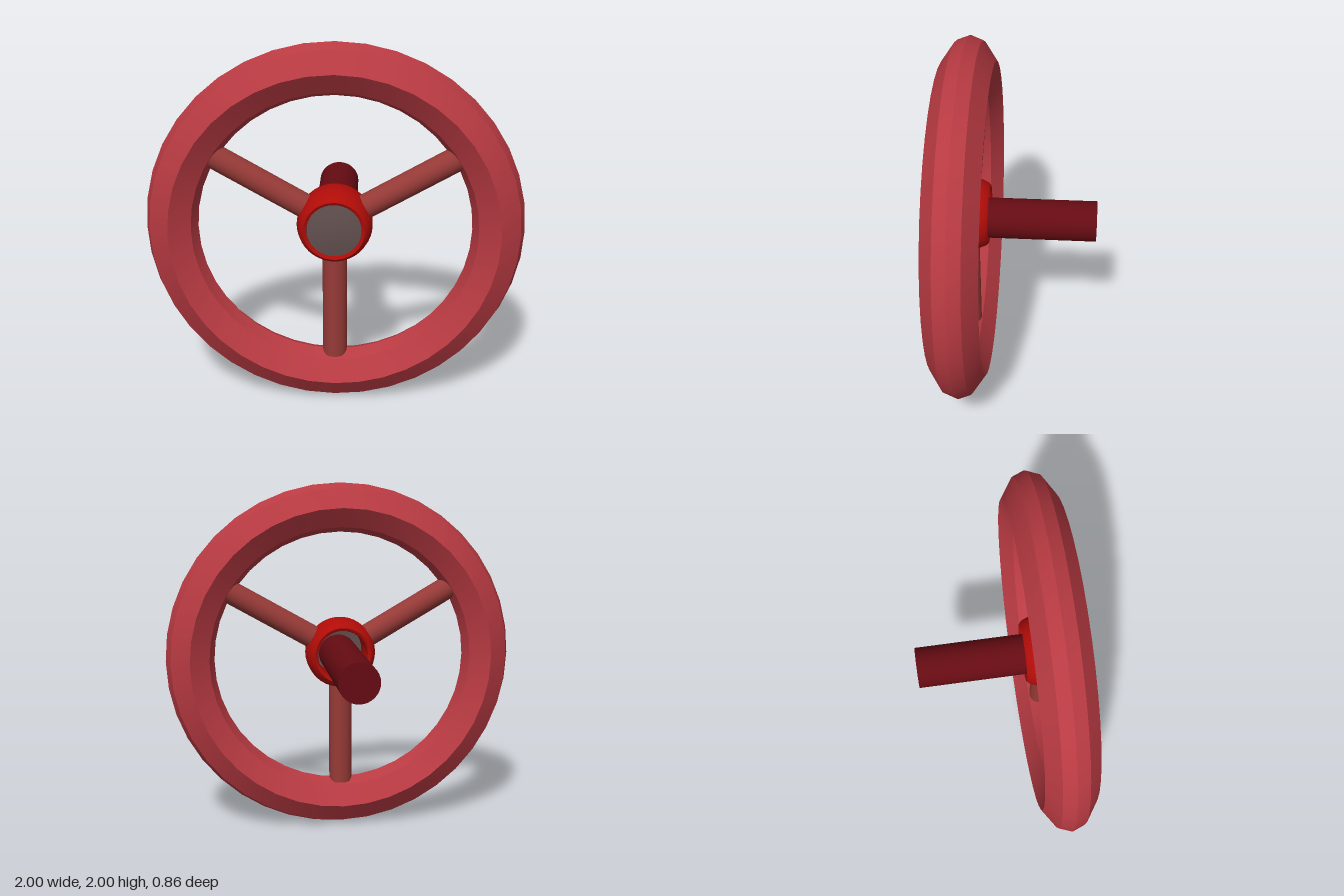
import * as THREE from 'three';
import { toCreasedNormals } from 'three/addons/utils/BufferGeometryUtils.js';

const RIM_Y = 1, HUB_Y = 1.03, WHEEL_Z = 0.288;

function part(name, geometry, color, x, y, z) {
  const material = new THREE.MeshStandardMaterial({ color, side: THREE.DoubleSide });
  const mesh = new THREE.Mesh(geometry, material);
  mesh.name = name;
  mesh.position.set(x, y, z);
  return mesh;
}

// Revolves [radius, depth] pairs about the z axis
function turned(profile, segments, crease) {
  const points = profile.map(([r, d]) => new THREE.Vector2(r, d));
  const geometry = new THREE.LatheGeometry(points, segments).rotateX(Math.PI / 2);
  return toCreasedNormals(geometry, crease);
}

export function createModel() {
  const wheel = new THREE.Group();
  wheel.name = 'handwheel';

  // Rim: faceted ring with crests on the front and back
  const rim = turned([
    [1, 0], [0.973, 0.07], [0.865, 0.143], [0.755, 0.07],
    [0.725, 0], [0.755, -0.07], [0.865, -0.143], [0.973, -0.07], [1, 0],
  ], 40, 0.5);
  wheel.add(part('rim', rim, 0xb83a42, 0, RIM_Y, WHEEL_Z));

  // Hub: rounded open collar
  const hub = turned([
    [0.145, -0.12], [0.16, -0.128], [0.175, -0.115], [0.19, -0.08], [0.2, -0.035],
    [0.2, 0.035], [0.19, 0.08], [0.175, 0.115], [0.16, 0.128], [0.145, 0.12],
    [0.14, 0.1], [0.14, -0.1], [0.145, -0.12],
  ], 40, 0.6);
  wheel.add(part('hub', hub, 0xb00c08, 0, HUB_Y, WHEEL_Z));

  // Shallow domed cap closing the front of the hub
  const cap = turned([[0.145, 0.1], [0.145, 0.115], [0.08, 0.125], [0, 0.13]], 40, 0.5);
  wheel.add(part('hubCap', cap, 0x635050, 0, HUB_Y, WHEEL_Z));

  // Three spokes running from the hub into the rim
  const inner = 0.17, outer = 0.775;
  const spokes = new THREE.Group();
  spokes.name = 'spokes';
  for (let i = 0; i < 3; i++) {
    const angle = Math.PI / 6 + (i * Math.PI * 2) / 3;
    const mid = (inner + outer) / 2;
    const geometry = new THREE.CylinderGeometry(0.066, 0.066, outer - inner, 24);
    const spoke = part('spoke', geometry, 0x963a37,
      Math.cos(angle) * mid, HUB_Y + Math.sin(angle) * mid, WHEEL_Z);
    spoke.rotation.z = angle - Math.PI / 2;
    spokes.add(spoke);
  }
  wheel.add(spokes);

  // Shaft running back from the hub cap
  const back = -0.43, front = 0.385;
  const shaft = new THREE.CylinderGeometry(0.112, 0.112, front - back, 32).rotateX(Math.PI / 2);
  wheel.add(part('shaft', shaft, 0x650b12, 0, RIM_Y + 0.003, (front + back) / 2));

  return wheel;
}
